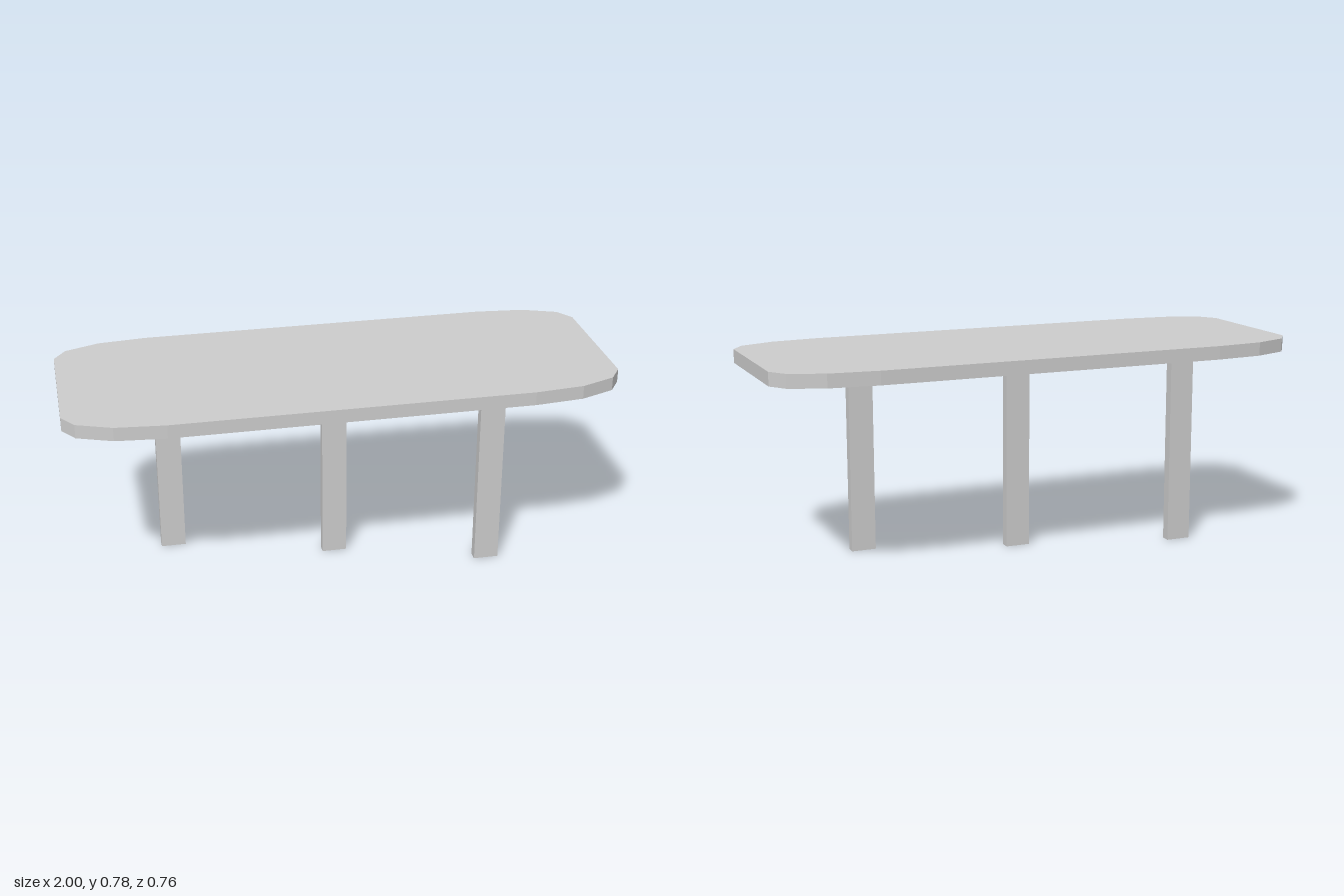
import * as THREE from 'three';

export function createModel() {
  const group = new THREE.Group();
  const grey = new THREE.MeshStandardMaterial({ color: 0xcccccc });
  grey.name = 'light grey';

  // Tabletop: one faceted corner mirrored into all four quadrants
  const corner = [[1, 0.25], [0.956, 0.314], [0.83, 0.362], [0.65, 0.379]];
  const mirrored = (sx, sy) => corner.map(([x, y]) => new THREE.Vector2(x * sx, y * sy));
  const outline = new THREE.Shape([
    ...mirrored(1, 1),
    ...mirrored(-1, 1).reverse(),
    ...mirrored(-1, -1),
    ...mirrored(1, -1).reverse(),
  ]);
  const topGeometry = new THREE.ExtrudeGeometry(outline, { depth: 0.05, bevelEnabled: false });
  topGeometry.rotateX(-Math.PI / 2);
  const top = new THREE.Mesh(topGeometry, grey);
  top.name = 'tabletop';
  top.position.y = 0.73;
  group.add(top);

  // Three flat legs set along a diagonal
  const legGeometry = new THREE.BoxGeometry(0.093, 0.73, 0.035);
  const legs = [
    ['rightLeg', -0.607, -0.161],
    ['middleLeg', -0.002, 0],
    ['leftLeg', 0.557, 0.168],
  ];
  for (const [name, x, z] of legs) {
    const leg = new THREE.Mesh(legGeometry, grey);
    leg.name = name;
    leg.position.set(x, 0.365, z);
    group.add(leg);
  }
  return group;
}
